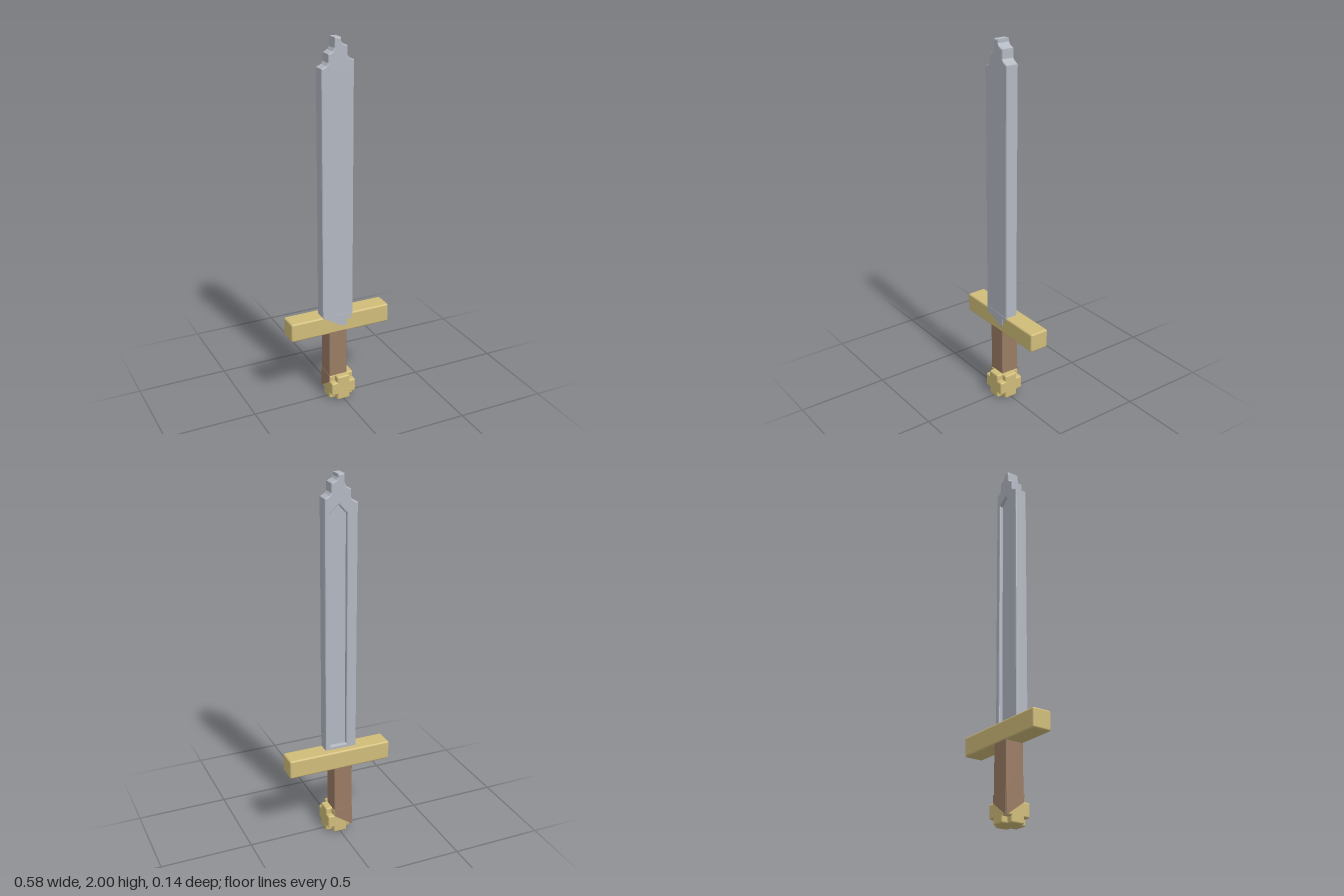
import * as THREE from 'three';
import { RoundedBoxGeometry } from 'three/addons/geometries/RoundedBoxGeometry.js';

const makeMaterial = (name, color) => {
  const m = new THREE.MeshStandardMaterial({ color });
  m.name = name;
  return m;
};

export function createModel() {
  const model = new THREE.Group();
  model.name = 'sword';
  const steel = makeMaterial('steel', 0xb3b8c2);
  const gold = makeMaterial('gold', 0xd0bc79);
  const leather = makeMaterial('leather', 0x9a7c64);

  const add = (name, geometry, material, parent = model) => {
    const mesh = new THREE.Mesh(geometry, material);
    mesh.name = name;
    parent.add(mesh);
    return mesh;
  };
  // Rounded box given by its lower and upper corners
  const block = (name, lo, hi, radius, material, parent) => {
    const size = hi.map((v, i) => v - lo[i]);
    const mesh = add(name, new RoundedBoxGeometry(...size, 3, radius), material, parent);
    mesh.position.set(...hi.map((v, i) => (v + lo[i]) / 2));
    return mesh;
  };
  const outline = (points) => points.map(([x, y]) => new THREE.Vector2(x, y));
  const slab = (name, points, depth, material, parent) =>
    add(name, new THREE.ExtrudeGeometry(new THREE.Shape(outline(points)),
      { depth, bevelEnabled: false }), material, parent);

  // Blade: stepped tip, with a sunken panel on the back
  const blade = new THREE.Group();
  blade.name = 'blade';
  model.add(blade);
  const edge = new THREE.Shape(outline([
    [-0.107, 0.47], [0.07, 0.47], [0.07, 1.885], [0.045, 1.898], [0.035, 1.91],
    [0.035, 1.958], [0.008, 1.97], [0, 1.982], [0, 2], [-0.035, 2],
    [-0.037, 1.95], [-0.046, 1.935], [-0.07, 1.922], [-0.07, 1.88],
    [-0.08, 1.866], [-0.107, 1.853],
  ]));
  edge.holes.push(new THREE.Path(outline([
    [-0.05, 0.53], [-0.05, 1.80], [-0.005, 1.85], [0.04, 1.81], [0.04, 0.53],
  ])));
  const bevel = 0.006;
  const rim = add('bladeRim', new THREE.ExtrudeGeometry(edge, {
    depth: 0.07 - 2 * bevel, bevelThickness: bevel, bevelSize: bevel,
    bevelOffset: -bevel, bevelSegments: 2,
  }), steel, blade);
  rim.position.z = -0.035 + bevel;
  const panel = slab('bladePanel', [
    [-0.062, 0.515], [0.052, 0.515], [0.052, 1.82], [-0.005, 1.866], [-0.062, 1.81],
  ], 0.05, steel, blade);
  panel.position.z = -0.015;

  // Point of the blade lying over the front of the guard
  const inlay = slab('bladeInlay', [
    [-0.1, 0.512], [-0.075, 0.49], [-0.01, 0.45], [0.02, 0.438], [0.035, 0.452],
    [0.035, 0.49], [0.065, 0.512],
  ], 0.004, steel);
  inlay.position.z = 0.0325;

  block('crossguard', [-0.29, 0.405, -0.073], [0.29, 0.51, 0.035], 0.01, gold);
  block('grip', [-0.07, 0.105, -0.07], [0.035, 0.42, 0.035], 0.007, leather);

  // Pommel: cube with its eight corners cut out, made of three crossing blocks
  const pommel = new THREE.Group();
  pommel.name = 'pommel';
  model.add(pommel);
  for (let axis = 0; axis < 3; axis++) {
    const half = [0.071, 0.072, 0.071];
    half[axis] = 0.038;
    const centre = [0, 0.074, 0];
    block('pommelBlock', centre.map((c, i) => c - half[i]), centre.map((c, i) => c + half[i]),
      0.009, gold, pommel);
  }

  // Leather running down one corner of the pommel
  const wrap = [[0.035, 0.15], [-0.068, 0.15], [-0.068, 0.035], [0.035, 0.11]];
  const backWrap = slab('gripWrapBack', wrap, 0.004, leather);
  backWrap.position.z = -0.0725;
  const sideWrap = slab('gripWrapSide', wrap, 0.004, leather);
  sideWrap.rotation.y = -Math.PI / 2;
  sideWrap.position.x = -0.0685;

  return model;
}
